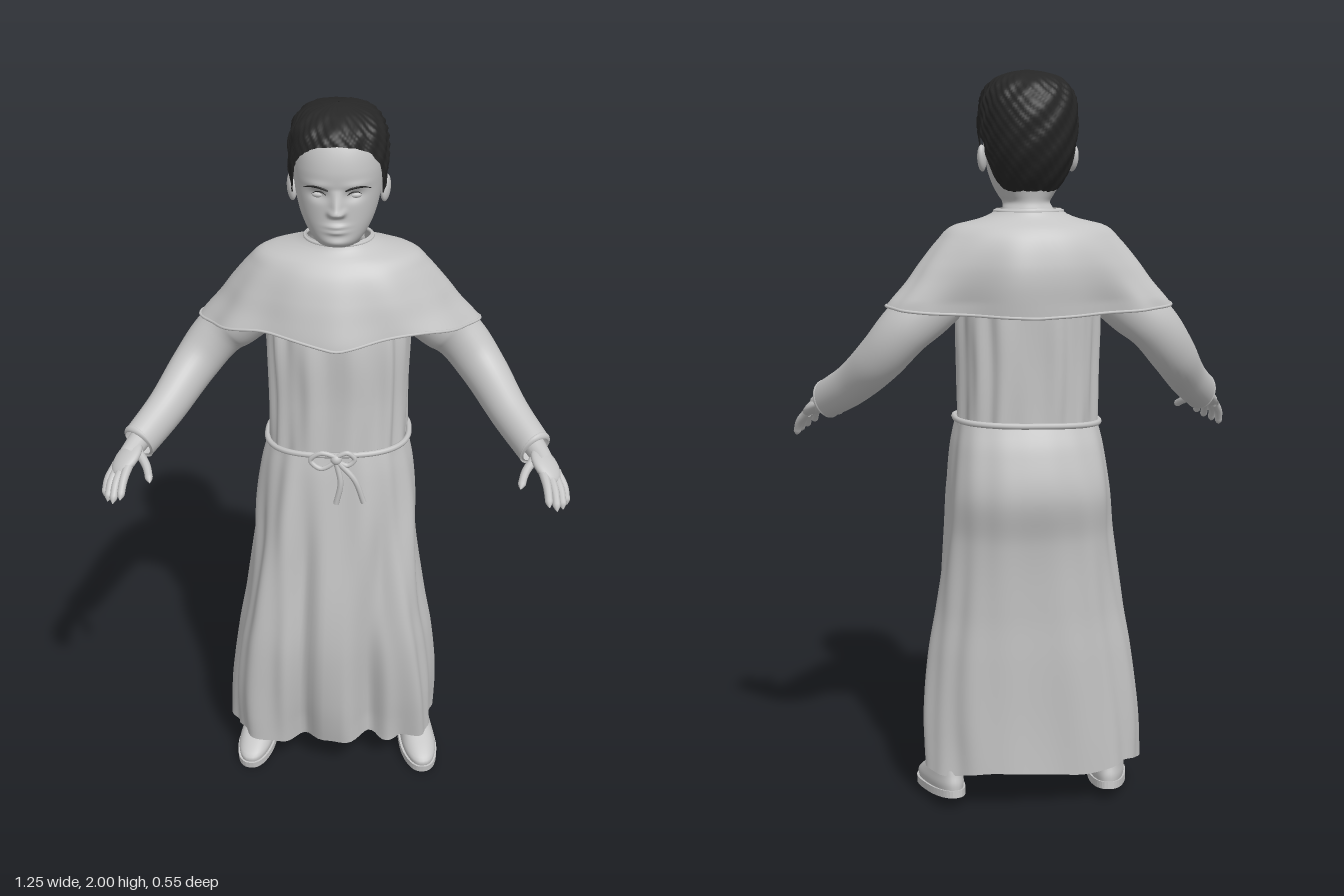
import * as THREE from 'three';

const V = (x, y, z) => new THREE.Vector3(x, y, z);
const clamp = THREE.MathUtils.clamp;
const bell = (d, w) => Math.exp(-(d / w) * (d / w));
const spow = (v, p) => Math.sign(v) * Math.pow(Math.abs(v), p);

// Smooth interpolation of table rows keyed by their first column
function sample(rows, t) {
  const n = rows.length - 1;
  t = clamp(t, rows[0][0], rows[n][0]);
  let i = 0;
  while (i < n - 1 && t > rows[i + 1][0]) i++;
  const a = rows[i], b = rows[i + 1], h = b[0] - a[0], s = (t - a[0]) / h;
  const slope = (k, c) => {
    const p = rows[Math.max(k - 1, 0)], q = rows[Math.min(k + 1, n)];
    return (q[c] - p[c]) / (q[0] - p[0]);
  };
  return a.map((_, c) => c === 0 ? t
    : (2 * s ** 3 - 3 * s * s + 1) * a[c] + (s ** 3 - 2 * s * s + s) * h * slope(i, c)
    + (3 * s * s - 2 * s ** 3) * b[c] + (s ** 3 - s * s) * h * slope(i + 1, c));
}

// Point on a rounded section: row = [y, halfWidth, zFront, zBack]
function oval([y, hw, zf, zb], a, p) {
  return V(hw * spow(Math.sin(a), p), y, (zf + zb) / 2 + (zf - zb) / 2 * spow(Math.cos(a), p));
}

// Push a point outwards from the body axis
function swell(q, a, d) {
  q.x += d * Math.sin(a);
  q.z += d * Math.cos(a);
}

// Closed rings of points joined into a smooth skin
function skin(nu, nv, fn) {
  const pos = [], idx = [];
  for (let j = 0; j <= nv; j++)
    for (let i = 0; i < nu; i++) pos.push(...fn((i / nu) * 2 * Math.PI - Math.PI, j / nv).toArray());
  for (let j = 0; j < nv; j++)
    for (let i = 0; i < nu; i++) {
      const k = (i + 1) % nu, a = j * nu + i, b = j * nu + k;
      idx.push(a, b, b + nu, a, b + nu, a + nu);
    }
  const g = new THREE.BufferGeometry();
  g.setAttribute('position', new THREE.Float32BufferAttribute(pos, 3));
  g.setIndex(idx);
  g.computeVertexNormals();
  return g;
}

// Vertical loft through table rows; lo may depend on the angle
function loft(rows, { nu, nv, p = 1, lo = () => rows[0][0], dome = false, warp }) {
  const hi = rows[rows.length - 1][0];
  return skin(nu, nv, (a, v) => {
    const y = THREE.MathUtils.lerp(lo(a), hi, dome ? Math.sin(v * Math.PI / 2) : v);
    const q = oval(sample(rows, y), a, p);
    warp(q, a, y);
    return q;
  });
}

// Round sweep with changing radius along a curve; flat narrows it sideways
function sweep(pts, radii, nu, nv, flat = 1) {
  const curve = new THREE.CatmullRomCurve3(pts);
  const fr = curve.computeFrenetFrames(nv);
  const table = radii.map((r, i) => [i / (radii.length - 1), r]);
  return skin(nu, nv, (a, v) => {
    const j = Math.round(v * nv), r = sample(table, v)[1];
    const o = V(0, 0, 0).addScaledVector(fr.normals[j], r * Math.cos(a)).addScaledVector(fr.binormals[j], r * Math.sin(a));
    return curve.getPoint(v).add(o.multiply(V(flat, 1, flat)));
  });
}

const tube = (pts, r, closed = false, n = 40) =>
  new THREE.TubeGeometry(new THREE.CatmullRomCurve3(pts, closed), n, r, 8, closed);

const HEAD = [[1.57, .072, -.02, -.17], [1.635, .068, -.012, -.165], [1.655, .062, .05, -.16], [1.672, .072, .066, -.162],
  [1.7, .088, .068, -.17], [1.74, .103, .068, -.19], [1.8, .114, .069, -.205], [1.86, .117, .072, -.21],
  [1.92, .111, .056, -.205], [1.96, .088, .025, -.18], [1.982, .045, -.02, -.12], [1.988, .002, -.06, -.07]];
const HAIR = [[1.68, .08, .0, -.165], [1.72, .102, .04, -.195], [1.78, .121, .068, -.225], [1.85, .129, .078, -.238],
  [1.91, .126, .066, -.234], [1.95, .112, .047, -.215], [1.98, .082, .0, -.175], [1.994, .04, -.04, -.12], [2, .002, -.07, -.075]];
const HAIRLINE = [[0, 1.925], [.5, 1.912], [.95, 1.865], [1.18, 1.785], [1.36, 1.78], [1.5, 1.82], [1.75, 1.81],
  [1.95, 1.725], [2.2, 1.69], [3.15, 1.685]];
const SKIRT = [[.085, .3, .1, -.212], [.25, .297, .125, -.215], [.42, .278, .142, -.22], [.55, .255, .142, -.222],
  [.75, .23, .128, -.235], [.88, .222, .116, -.262], [1, .207, .1, -.24], [1.07, .192, .086, -.212]];
const TORSO = [[1.06, .188, .083, -.208], [1.2, .188, .078, -.213], [1.4, .192, .072, -.218], [1.5, .18, .03, -.21]];
const CAPE = [[1.34, .405, .105, -.262], [1.39, .375, .1, -.267], [1.45, .325, .085, -.272], [1.5, .29, .07, -.268],
  [1.56, .242, .045, -.25], [1.595, .203, .018, -.225], [1.612, .135, -.002, -.2], [1.625, .102, -.012, -.188], [1.64, .085, -.018, -.18]];
const CAPE_HEM = [[0, 1.385], [.55, 1.412], [1.2, 1.392], [1.7, 1.385], [2.4, 1.372], [3.15, 1.36]];
const SHOE = [[.015, .047, .14, -.14], [.035, .05, .138, -.142], [.055, .046, .1, -.138], [.075, .041, .045, -.135],
  [.1, .038, .01, -.13], [.12, .036, -.01, -.125]];

// Nose, lips, eye sockets, brow ridge and chin
function faceRelief(x, y) {
  const ax = Math.abs(x), up = clamp((1.815 - y) / .055, 0, 1), down = clamp((y - 1.738) / .014, 0, 1);
  return .025 * bell(x, .014) * up * down + .011 * bell(ax - .014, .009) * bell(y - 1.754, .009)
    + .008 * bell(x, .026) * (bell(y - 1.717, .007) + bell(y - 1.702, .007))
    - .01 * bell(ax - .045, .024) * bell(y - 1.797, .015)
    + .004 * bell(ax - .05, .03) * bell(y - 1.825, .01) + .006 * bell(x, .03) * bell(y - 1.672, .01);
}
function faceZ(x, y) {
  const [, hw, zf, zb] = sample(HEAD, y);
  return (zf + zb) / 2 + (zf - zb) / 2 * Math.pow(1 - Math.pow(Math.abs(x / hw), 2 / .9), .45) + faceRelief(x, y);
}

// Cape swept back at the shoulders, hollowed beside the chest and spine
function capePoint(q, a, y) {
  const low = clamp((1.6 - y) / .2, 0, 1), ax = Math.abs(q.x), c = Math.cos(a);
  q.z += low * (c > 0 ? -.02 * c * bell(ax - .2, .08) : -.035 * c * bell(ax - .22, .09));
  q.z -= .055 * low * Math.sin(a) ** 4;
  swell(q, a, low * .005 * (Math.sin(8 * a + 6 * y) + .6 * Math.sin(13 * a + 1)));
}

// Skirt draped over both legs with deep valleys between
function skirtPoint(q, a, y) {
  const f = clamp((1.07 - y) / .9, 0, 1), front = Math.max(0, Math.cos(a)), x = q.x;
  q.z += f * front * (.018 * bell(x + .19, .06) - .045 * bell(x + .085, .035) - .02 * bell(x, .05)
    - .055 * bell(x - .11, .045) - .02 * bell(x - .22, .06));
  swell(q, a, (.002 + .011 * Math.sqrt(f)) * (.65 + .35 * Math.cos(a))
    * (Math.sin(7 * a + 2 * Math.sin(y * 4)) + .5 * Math.sin(15 * a + 4 * y)));
  q.x -= .015 * f;
}

export function createModel() {
  const grey = new THREE.MeshStandardMaterial({ color: 0xc4c4c4, side: THREE.DoubleSide });
  grey.name = 'plain grey';
  const black = new THREE.MeshStandardMaterial({ color: 0x262626, side: THREE.DoubleSide });
  black.name = 'hair black';
  const model = new THREE.Group();
  model.name = 'robedChild';
  const add = (name, geo, mat = grey, parent = model) => {
    const m = new THREE.Mesh(geo, mat);
    m.name = name;
    parent.add(m);
    return m;
  };

  // Head and hair
  add('head', loft(HEAD, { nu: 144, nv: 110, p: .9,
    warp: (q, a, y) => { if (Math.cos(a) > 0) q.z += faceRelief(q.x, y) * Math.min(1, 3 * Math.cos(a)); } }));
  add('hair', loft(HAIR, { nu: 140, nv: 60, p: .85, dome: true, lo: a => sample(HAIRLINE, Math.abs(a))[1],
    warp: (q, a, y) => {
      const d = .004 * clamp((2 - y) / .05, 0, 1) * Math.sin(21 * a + 60 * y) * Math.sin(140 * y + 9 * a);
      swell(q, a, d);
      q.y += .5 * d;
    } }), black);

  // Robe
  add('robeSkirt', loft(SKIRT, { nu: 160, nv: 60, p: .78, warp: skirtPoint,
    lo: a => .1 + .008 * Math.sin(5 * a) - .04 * bell(a - .5, .12) }));
  add('robeBodice', loft(TORSO, { nu: 120, nv: 24, p: .78,
    warp: (q, a, y) => swell(q, a, .005 * (Math.sin(12 * a + Math.sin(9 * y)) + .5 * Math.sin(19 * a))) }));
  const capeLo = a => sample(CAPE_HEM, Math.abs(a))[1];
  add('shoulderCape', loft(CAPE, { nu: 120, nv: 36, lo: capeLo, warp: capePoint }));
  const hem = [], collar = [], belt = [];
  for (let i = 0; i < 60; i++) {
    const a = i / 60 * 2 * Math.PI - Math.PI;
    const h = oval(sample(CAPE, capeLo(a)), a, 1);
    capePoint(h, a, h.y);
    hem.push(h);
    collar.push(oval([1.632, .09, -.018, -.18], a, 1));
    belt.push(oval([1.07 + .006 * Math.sin(a), .196, .091, -.217], a, .78));
  }
  add('capeHem', tube(hem, .004, true, 120));
  add('collar', tube(collar, .005, true, 80));

  // Rope belt with a bow and two hanging ends
  add('ropeBelt', tube(belt, .008, true, 120));
  add('beltKnot', new THREE.SphereGeometry(.016, 16, 12)).position.set(0, 1.067, .107);
  add('bowLoopRight', tube([V(0, 1.07, .11), V(-.04, 1.086, .11), V(-.07, 1.062, .106), V(-.04, 1.04, .112)], .007, true));
  add('bowLoopLeft', tube([V(0, 1.07, .11), V(.03, 1.088, .11), V(.05, 1.068, .108), V(.03, 1.05, .11)], .007, true));
  add('ropeEndRight', tube([V(0, 1.06, .11), V(.012, 1.0, .118), V(0, .935, .118)], .008));
  add('ropeEndLeft', tube([V(.005, 1.06, .11), V(.05, 1.01, .118), V(.075, .94, .116)], .008));

  for (const s of [1, -1]) {
    const side = s > 0 ? 'left' : 'right';
    const P = (x, y, z) => V(s * x, y, z);

    // Face details
    add(side + 'Ear', new THREE.SphereGeometry(1, 20, 14).scale(.012, .036, .022).rotateX(-.25).rotateY(-s * .35))
      .position.set(s * .122, 1.77, -.083);
    add(side + 'Eye', new THREE.SphereGeometry(1, 16, 12).scale(.019, .009, .012))
      .position.set(s * .045, 1.796, faceZ(.045, 1.796) - .007);
    const brow = (r, pts) => sweep(pts.map(([x, y]) => P(x, y, faceZ(x, y) + .001)), [r * .6, r, r * .8, r * .2], 8, 16);
    add(side + 'Eyebrow', brow(.003, [[.022, 1.812], [.042, 1.82], [.065, 1.82], [.086, 1.81]]), black);
    add(side + 'Lashes', brow(.0016, [[.027, 1.799], [.038, 1.806], [.052, 1.806], [.064, 1.798]]), black);

    // Sleeve and cuff
    const arm = [P(.19, 1.44, -.1), P(.265, 1.385, -.122), P(.335, 1.325, -.13), P(.4, 1.245, -.095), P(.468, 1.165, .005), P(.532, 1.11, .105)];
    add(side + 'Sleeve', sweep(arm, [.07, .08, .077, .07, .06, .054], 32, 40, .86));
    add(side + 'Cuff', sweep([P(.53, 1.112, .101), P(.533, 1.11, .105), P(.535, 1.108, .108)], [.054, .055, .045], 32, 6, .86));

    // Hand
    add(side + 'Wrist', sweep([P(.49, 1.145, .04), P(.53, 1.112, .09), P(.557, 1.09, .145)], [.034, .03, .026], 16, 10));
    const along = P(.045, -.052, .095).normalize();
    const across = P(.042, -.015, -.02);
    across.addScaledVector(along, -across.dot(along)).normalize();
    const basis = new THREE.Matrix4().makeBasis(along, V(0, 0, 0).crossVectors(across, along), across);
    add(side + 'Palm', new THREE.SphereGeometry(1, 20, 16).scale(.06, .019, .039).applyMatrix4(basis))
      .position.set(s * .559, 1.086, .152);
    const fingers = {
      IndexFinger: [[.548, 1.085, .17], [.56, 1.058, .222], [.565, 1.022, .27]],
      MiddleFinger: [[.565, 1.075, .17], [.58, 1.048, .222], [.586, 1.008, .265]],
      RingFinger: [[.578, 1.07, .16], [.597, 1.04, .205], [.604, 1.0, .239]],
      LittleFinger: [[.588, 1.065, .15], [.609, 1.035, .18], [.617, .995, .205]],
      Thumb: [[.535, 1.095, .125], [.505, 1.075, .175], [.49, 1.052, .227]],
    };
    for (const [name, pts] of Object.entries(fingers))
      add(side + name, sweep(pts.map(p => P(...p)), [.014, .013, .0125, .012, .0115, .011, .0105, .01, .001], 10, 24));

    // Leg and shoe
    add(side + 'Leg', sweep([P(.225, .08, -.1), P(.2, .3, -.08), P(.13, .7, -.07)], [.036, .05, .075], 20, 12));
    const shoe = new THREE.Group();
    shoe.name = side + 'Shoe';
    shoe.position.set(s * .237, .0175, -.04);
    shoe.rotation.set(.12, s * .17, 0, 'YXZ');
    model.add(shoe);
    const narrowHeel = q => { q.x *= 1 + .9 * Math.min(q.z, .06); };
    add(side + 'ShoeUpper', loft(SHOE, { nu: 40, nv: 16, p: .85, warp: narrowHeel }), grey, shoe);
    const outline = [];
    for (let i = 0; i < 40; i++) {
      const q = oval([0, .054, .146, -.146], -i / 40 * 2 * Math.PI, .85);
      narrowHeel(q);
      outline.push(new THREE.Vector2(q.x, q.z));
    }
    add(side + 'Sole', new THREE.ExtrudeGeometry(new THREE.Shape(outline), { depth: .02, bevelEnabled: false })
      .rotateX(Math.PI / 2).translate(0, .02, 0), grey, shoe);
  }
  return model;
}
